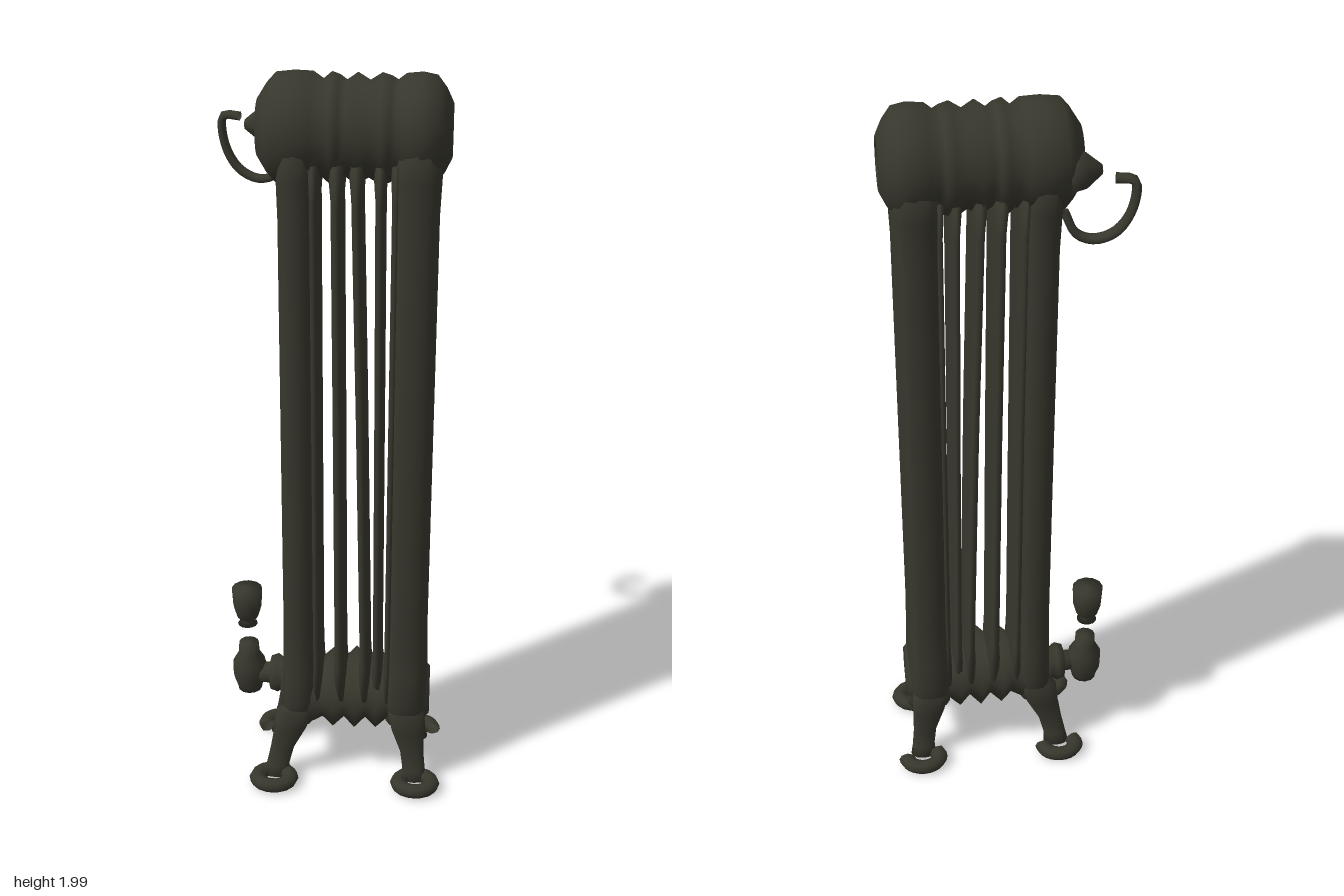
import * as THREE from 'three';

const iron = new THREE.MeshStandardMaterial({ color: 0x38372d, side: THREE.DoubleSide });
iron.name = 'dark cast iron';

export function createModel() {
  const model = new THREE.Group();
  model.name = 'columnRadiator';

  function add(name, geometry, x = 0, y = 0, z = 0) {
    const mesh = new THREE.Mesh(geometry, iron);
    mesh.name = name;
    mesh.position.set(x, y, z);
    model.add(mesh);
    return mesh;
  }

  // Upright skin through rounded cross-sections: [y, centreX, centreZ, halfX, halfZ]
  function loft(rings, power = 1, n = 20) {
    const pos = [], idx = [];
    const bend = (v) => Math.sign(v) * Math.abs(v) ** power;
    for (const [y, cx, cz, hx, hz] of rings) {
      for (let i = 0; i < n; i++) {
        const a = (i / n) * Math.PI * 2;
        pos.push(cx + hx * bend(Math.cos(a)), y, cz + hz * bend(Math.sin(a)));
      }
    }
    for (let r = 0; r < rings.length - 1; r++) {
      for (let i = 0; i < n; i++) {
        const a = r * n + i, b = r * n + (i + 1) % n;
        idx.push(a, a + n, b, b, a + n, b + n);
      }
    }
    // end caps
    for (const r of [0, rings.length - 1]) {
      const c = pos.length / 3;
      pos.push(rings[r][1], rings[r][0], rings[r][2]);
      for (let i = 0; i < n; i++) {
        const a = r * n + i, b = r * n + (i + 1) % n;
        if (r) idx.push(a, c, b); else idx.push(a, b, c);
      }
    }
    const g = new THREE.BufferGeometry();
    g.setAttribute('position', new THREE.Float32BufferAttribute(pos, 3));
    g.setIndex(idx);
    g.computeVertexNormals();
    return g;
  }

  // Turned shape along the x axis: points are [x, radius]
  function turnedX(points, segments = 24) {
    const g = new THREE.LatheGeometry(points.map(([x, r]) => new THREE.Vector2(r, x)), segments);
    return g.rotateZ(-Math.PI / 2);
  }

  // Top header: ribbed drum with a recessed boss at each end
  add('topHeader', turnedX([
    [-0.15, 0], [-0.15, 0.035], [-0.19, 0.045], [-0.19, 0.07], [-0.165, 0.11], [-0.145, 0.132],
    [-0.1, 0.137], [-0.055, 0.135], [-0.03, 0.118], [-0.01, 0.135], [0.01, 0.128], [0.027, 0.116],
    [0.053, 0.134], [0.083, 0.116], [0.112, 0.134], [0.135, 0.127], [0.15, 0.118], [0.17, 0.133],
    [0.21, 0.137], [0.245, 0.13], [0.268, 0.1], [0.285, 0.065], [0.285, 0.045], [0.245, 0.035], [0.245, 0],
  ]), 0, 1.863, -0.028);

  // Bottom header, with sharper ribs
  const lower = add('bottomHeader', turnedX([
    [-0.15, 0], [-0.15, 0.05], [-0.12, 0.09], [-0.06, 0.1], [-0.03, 0.085], [0, 0.11], [0.03, 0.083],
    [0.06, 0.112], [0.09, 0.083], [0.12, 0.11], [0.15, 0.085], [0.18, 0.1], [0.24, 0.09],
    [0.27, 0.065], [0.27, 0.04], [0.25, 0.03], [0.25, 0],
  ]), 0, 0.257, 0);
  lower.scale.z = 1.1;

  // Wide end columns
  for (const [name, cx, hx] of [['rightEndColumn', -0.095, 0.045], ['leftEndColumn', 0.202, 0.057]]) {
    add(name, loft([
      [0.16, cx, -0.005, hx * 0.8, 0.07],
      [0.19, cx, -0.002, hx * 1.05, 0.1],
      [0.27, cx, 0, hx * 1.1, 0.122],
      [0.36, cx, 0, hx * 1.05, 0.116],
      [0.5, cx, -0.002, hx, 0.112],
      [1.1, cx, -0.01, hx, 0.116],
      [1.65, cx, -0.02, hx, 0.124],
      [1.76, cx, -0.026, hx * 1.08, 0.129],
      [1.87, cx, -0.028, hx * 1.1, 0.133],
    ], 0.65));
  }

  // Thin inner columns, flaring into both headers
  for (const [bottomX, topX, hx] of [[-0.045, -0.05, 0.013], [0.018, 0.006, 0.016], [0.087, 0.056, 0.015], [0.122, 0.113, 0.013], [0.152, 0.152, 0.011]]) {
    const at = (t) => bottomX + (topX - bottomX) * t;
    add('innerColumn', loft([
      [0.27, bottomX, 0, hx * 1.5, 0.1],
      [0.38, bottomX, 0, hx, 0.1],
      [1.1, at(0.5), -0.01, hx, 0.103],
      [1.7, topX, -0.024, hx, 0.112],
      [1.8, topX, -0.027, hx * 1.6, 0.118],
    ], 0.8, 16));
  }

  // Splayed legs and ring feet; the rear rings are broken open
  for (const side of [-1, 1]) {
    for (const end of [1, -1]) {
      const topX = side < 0 ? -0.105 : 0.205;
      const footX = side < 0 ? -0.165 : 0.236;
      const footZ = end > 0 ? 0.132 : -0.128;
      const lean = (t) => topX + (footX - topX) * t;
      add(end > 0 ? 'frontLeg' : 'backLeg', loft([
        [0.02, lean(0.9), end * 0.1, 0.036, 0.026],
        [0.05, lean(0.85), end * 0.094, 0.032, 0.022],
        [0.1, lean(0.65), end * 0.086, 0.033, 0.02],
        [0.17, lean(0.25), end * 0.086, 0.045, 0.025],
        [0.24, topX, end * 0.09, 0.052, 0.03],
      ], 0.9, 12));
      const ring = new THREE.TorusGeometry(0.043, 0.022, 8, 14, end > 0 ? Math.PI * 2 : Math.PI * 1.15);
      ring.rotateX(-Math.PI / 2);
      const foot = add(end > 0 ? 'frontFoot' : 'backFoot', ring, footX, 0.025, footZ);
      foot.scale.set(1.08, 0.9, 0.92);
      foot.position.y = 0.026;
    }
  }

  // Inlet pipe with a union nut
  add('inletPipe', turnedX([
    [-0.25, 0], [-0.25, 0.03], [-0.19, 0.03], [-0.185, 0.048], [-0.165, 0.055],
    [-0.15, 0.045], [-0.12, 0.06], [-0.1, 0],
  ], 12), 0, 0.27, -0.035);

  // Valve body and its detached cap above
  const lathe = (pts) => new THREE.LatheGeometry(pts.map((p) => new THREE.Vector2(...p)), 12);
  add('valveBody', lathe([
    [0, 0.212], [0.034, 0.214], [0.037, 0.23], [0.047, 0.26], [0.047, 0.305], [0.03, 0.335], [0.028, 0.368], [0, 0.37],
  ]), -0.248, 0, -0.04);
  add('valveCap', lathe([
    [0, 0.425], [0.028, 0.43], [0.018, 0.443], [0.03, 0.455], [0.04, 0.49], [0.043, 0.545], [0, 0.55],
  ]), -0.25, 0, -0.042);

  // Tapered air plug on the right end
  add('airPlug', turnedX([[-0.232, 0], [-0.23, 0.012], [-0.19, 0.045], [-0.15, 0.055], [-0.14, 0]], 8), 0, 1.85, -0.1);

  // Hanging curved strap, swept as a flat band
  const curve = new THREE.CatmullRomCurve3([
    [-0.25, 1.855, -0.16], [-0.292, 1.852, -0.172], [-0.29, 1.78, -0.17], [-0.255, 1.72, -0.162],
    [-0.205, 1.698, -0.15], [-0.165, 1.71, -0.138], [-0.14, 1.76, -0.125],
  ].map((p) => new THREE.Vector3(...p)));
  const strap = new THREE.TubeGeometry(curve, 24, 0.011, 8);
  const sp = strap.attributes.position;
  for (let i = 0; i < sp.count; i++) {
    const centre = curve.getPointAt(Math.floor(i / 9) / 24);
    sp.setZ(i, centre.z + (sp.getZ(i) - centre.z) * 1.7);
  }
  strap.computeVertexNormals();
  add('hangingStrap', strap);

  return model;
}
